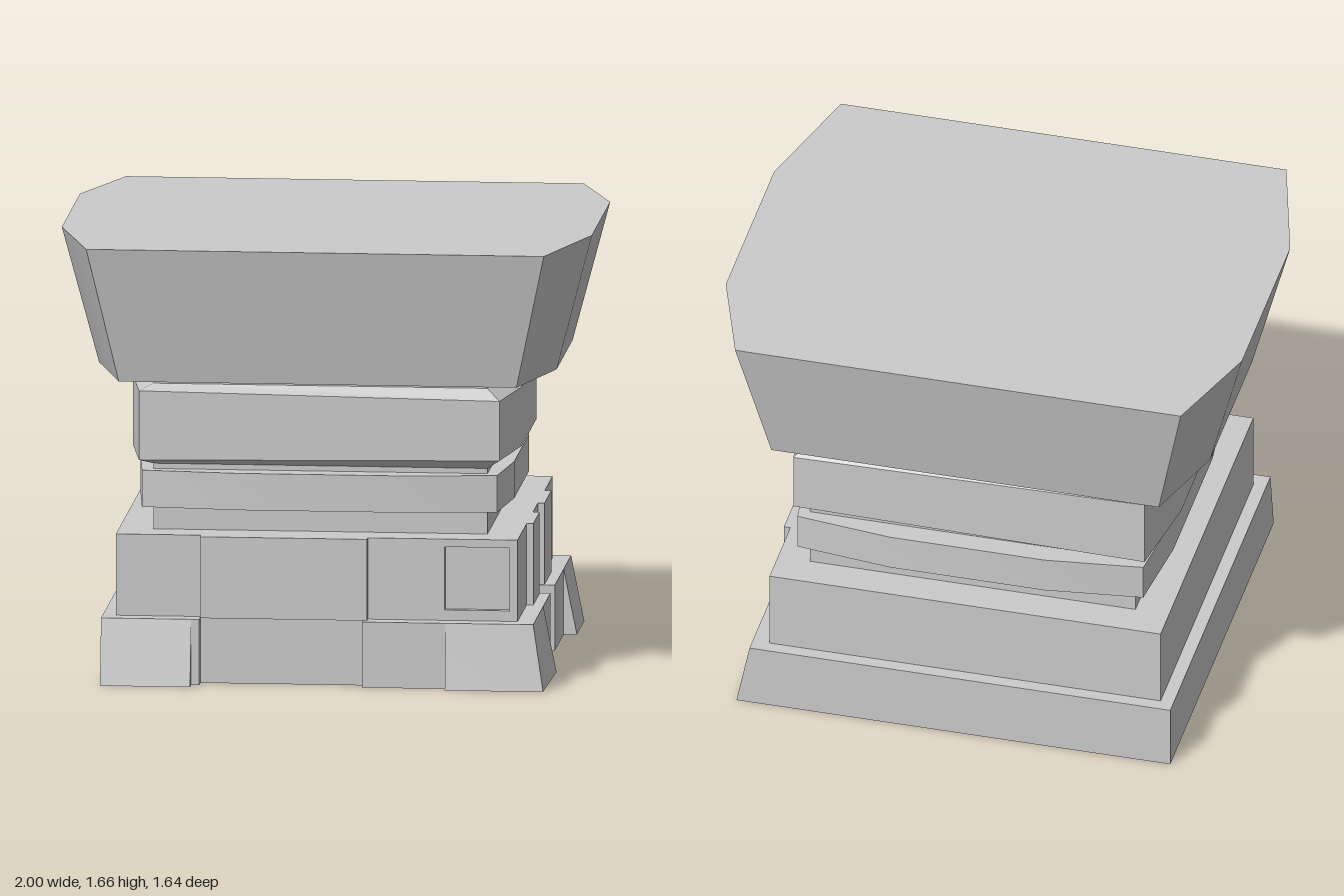
import * as THREE from 'three';
import { toCreasedNormals } from 'three/addons/utils/BufferGeometryUtils.js';

const material = new THREE.MeshStandardMaterial({ color: 0xcccccc, side: THREE.DoubleSide });

// Outlines are [x, z] points running back-left, back-right, front-right, front-left.
const rect = (x0, x1, z0, z1) => [[x0, z0], [x1, z0], [x1, z1], [x0, z1]];

// Straight front and back, sides bulging from xCorner to xMid.
const bulgedSides = (xCorner, xMid, zBack, zFront, m0, m1) => [
  [-xCorner, zBack], [xCorner, zBack], [xMid, m0], [xMid, m1],
  [xCorner, zFront], [-xCorner, zFront], [-xMid, m1], [-xMid, m0],
];

// Wall between two matching outlines; heights are numbers or functions of x.
function wall(low, high, y0, y1, crease = 0.05, skip = -1) {
  const height = (y, x) => (typeof y === 'function' ? y(x) : y);
  const at = (p, y) => new THREE.Vector3(p[0], height(y, p[0]), p[1]);
  const points = [];
  low.forEach((p, i) => {
    if (i === skip) return;
    const j = (i + 1) % low.length;
    const [a, b, c, d] = [at(p, y0), at(low[j], y0), at(high[j], y1), at(high[i], y1)];
    for (const t of [[a, d, c], [a, c, b]]) {
      if (new THREE.Triangle(...t).getArea() > 1e-6) points.push(...t);
    }
  });
  return toCreasedNormals(new THREE.BufferGeometry().setFromPoints(points), crease);
}

// Horizontal plate, optionally with a hole.
function plate(outer, y, hole) {
  const clean = (o) => o
    .filter((p, i) => { const q = o[(i + 1) % o.length]; return p[0] !== q[0] || p[1] !== q[1]; })
    .map((p) => new THREE.Vector2(...p));
  const shape = new THREE.Shape(clean(outer));
  if (hole) shape.holes.push(new THREE.Path(clean(hole)));
  return new THREE.ShapeGeometry(shape).rotateX(Math.PI / 2).translate(0, y, 0);
}

function part(name, ...geometries) {
  const group = new THREE.Group();
  group.name = name;
  geometries.forEach((g) => {
    const mesh = new THREE.Mesh(g, material);
    mesh.name = name + 'Surface';
    group.add(mesh);
  });
  return group;
}

export function createModel() {
  const model = new THREE.Group();
  model.name = 'pedestal';

  // Base course: flared corner stones and recessed panels on the front and right.
  const baseTop = [
    [-0.81, -0.77], [0.82, -0.77], [0.82, -0.47], [0.82, -0.47], [0.82, -0.11],
    [0.74, -0.11], [0.74, 0.07], [0.82, 0.07], [0.82, 0.36], [0.82, 0.36],
    [0.82, 0.77], [0.49, 0.77], [0.49, 0.77], [0.175, 0.77], [0.175, 0.72],
    [-0.44, 0.72], [-0.44, 0.77], [-0.47, 0.77], [-0.47, 0.77], [-0.81, 0.77],
  ];
  const baseBottom = baseTop.map((p) => [...p]);
  const flare = {
    1: [0.87, -0.77], 2: [0.87, -0.47], 9: [0.87, 0.36], 10: [0.86, 0.8],
    11: [0.49, 0.81], 18: [-0.47, 0.82], 19: [-0.81, 0.82],
  };
  for (const i in flare) baseBottom[i] = flare[i];
  const baseHole = rect(-0.76, 0.735, -0.72, 0.7);
  model.add(part('baseCourse', wall(baseBottom, baseTop, 0, 0.25), plate(baseTop, 0.25, baseHole)));

  // Second course: raised blocks on the front and right.
  const core = rect(-0.63, 0.63, -0.59, 0.58);
  const course = [
    [-0.76, -0.72], [0.755, -0.72], [0.755, -0.4], [0.78, -0.4], [0.78, -0.12], [0.755, -0.12],
    [0.755, 0.08], [0.78, 0.08], [0.78, 0.335], [0.755, 0.335], [0.755, 0.705],
    [0.19, 0.705], [0.19, 0.74], [-0.44, 0.74], [-0.44, 0.705], [-0.76, 0.705],
  ];
  model.add(part('secondCourse', wall(course, course, 0.25, 0.56, 0.05, 10),
    plate(course, 0.25, baseHole), plate(course, 0.56, core)));

  // Sunken square panel in the front right block.
  const box = (x0, x1, y0, y1) => rect(x0, x1, y0, y1).map((p) => new THREE.Vector2(...p));
  const frame = new THREE.Shape(box(0.19, 0.755, 0.25, 0.56));
  frame.holes.push(new THREE.Path(box(0.48, 0.725, 0.29, 0.53)));
  model.add(part('sunkenPanel',
    new THREE.ExtrudeGeometry(frame, { depth: 0.025, bevelEnabled: false }).translate(0, 0, 0.68),
    new THREE.PlaneGeometry(0.245, 0.24).translate(0.6025, 0.41, 0.68)));

  // Core showing between the bands.
  model.add(part('core', ...[[0.56, 0.65], [0.79, 0.81], [1.11, 1.14]]
    .map(([y0, y1]) => wall(core, core, y0, y1))));

  // Thin band, bulging on all four sides.
  const band = [
    [-0.67, -0.63], [-0.3, -0.675], [0.3, -0.675], [0.67, -0.63], [0.705, -0.3], [0.705, 0.3],
    [0.67, 0.62], [0.3, 0.66], [-0.3, 0.66], [-0.67, 0.62], [-0.705, 0.3], [-0.705, -0.3],
  ];
  model.add(part('thinBand', wall(band, band, 0.65, 0.79, 0.5),
    plate(band, 0.65, core), plate(band, 0.79, core)));

  // Thick band with sloping bevelled edges.
  const thick = bulgedSides(0.68, 0.733, -0.65, 0.635, -0.3, 0.3);
  const neck = bulgedSides(0.63, 0.63, -0.59, 0.58, -0.3, 0.3);
  const lower = (x) => 0.84 + 0.013 * x;
  const upper = (x) => 1.085 - 0.014 * x;
  model.add(part('thickBand', wall(neck, thick, 0.81, lower), wall(thick, thick, lower, upper, 0.5),
    wall(thick, neck, upper, 1.115)));

  // Flared cap with straight front and back.
  const capLow = bulgedSides(0.75, 0.863, -0.71, 0.7, -0.37, 0.28);
  const capHigh = bulgedSides(0.863, 1, -0.82, 0.805, -0.42, 0.32);
  model.add(part('cap', wall(capLow, capHigh, 1.14, 1.66, 0.5), plate(capLow, 1.14), plate(capHigh, 1.66)));

  return model;
}
